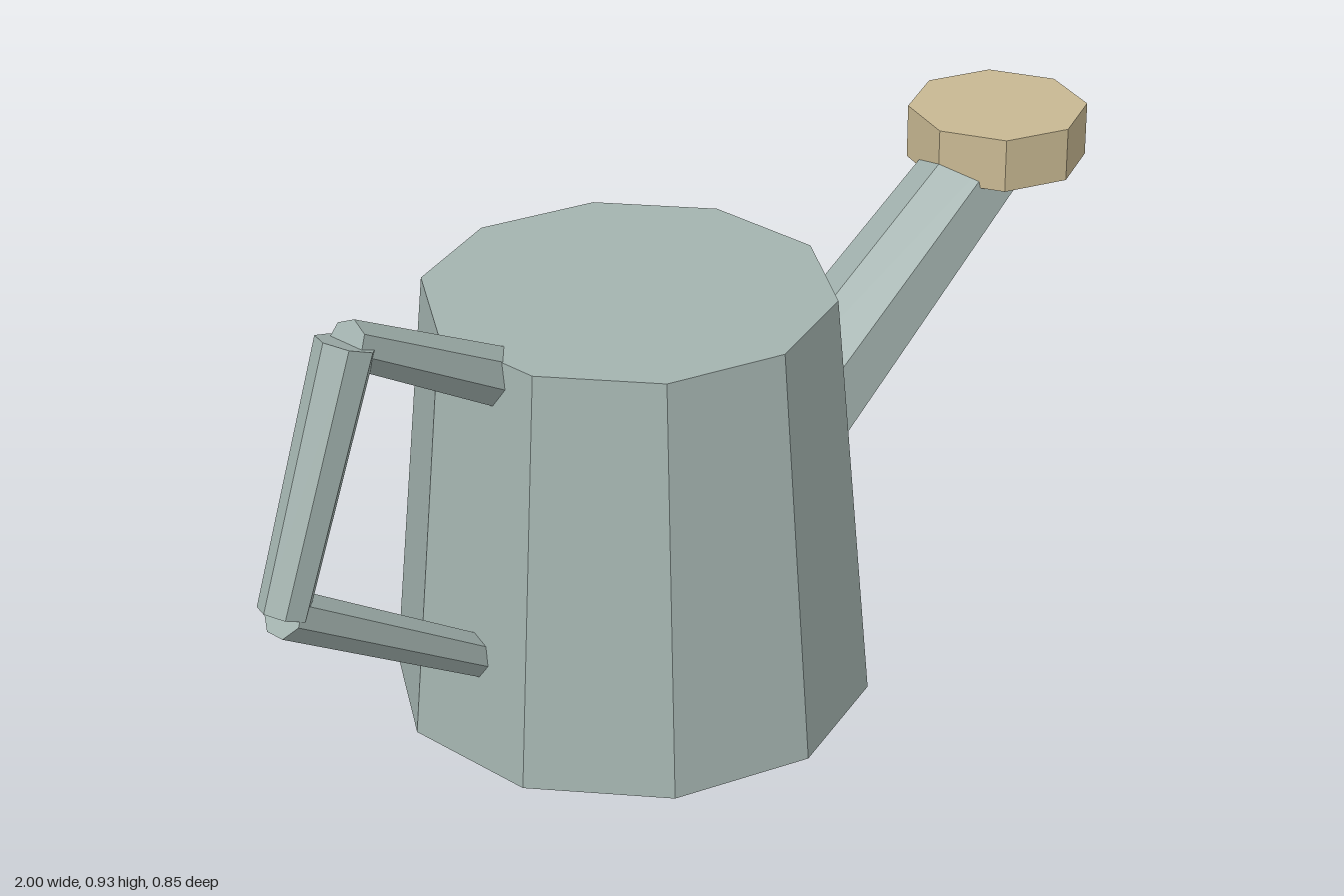
import * as THREE from 'three';

const metal = new THREE.MeshStandardMaterial({ color: 0xa3b3af, flatShading: true });
const brass = new THREE.MeshStandardMaterial({ color: 0xc8b892, flatShading: true });

// Upright faceted drum standing at (x, y)
function drum(name, x, y, rTop, rBottom, height, sides, material) {
  const geo = new THREE.CylinderGeometry(rTop, rBottom, height, sides);
  const mesh = new THREE.Mesh(geo, material);
  mesh.position.set(x, y + height / 2, 0);
  mesh.name = name;
  return mesh;
}

// Tapered seven-sided bar between two points in the x-y plane, one ridge on its left side
function bar(name, [x0, y0], [x1, y1], r0, r1) {
  const length = Math.hypot(x1 - x0, y1 - y0);
  const geo = new THREE.CylinderGeometry(r1, r0, length, 7, 1, false, -Math.PI / 2);
  const mesh = new THREE.Mesh(geo, metal);
  mesh.position.set((x0 + x1) / 2, (y0 + y1) / 2, 0);
  mesh.rotation.z = Math.atan2(y1 - y0, x1 - x0) - Math.PI / 2;
  mesh.name = name;
  return mesh;
}

export function createModel() {
  const model = new THREE.Group();
  model.name = 'wateringCan';

  // Closed tapered body
  model.add(drum('body', -0.158, 0, 0.36, 0.425, 0.762, 10, metal));

  // Spout rising to the sprinkler head
  model.add(bar('spout', [0.086, 0.244], [0.8255, 0.718], 0.121, 0.088));
  model.add(drum('sprinklerHead', 0.832, 0.69, 0.167, 0.167, 0.102, 8, brass));

  // Handle of three bars meeting at two corners
  const handle = new THREE.Group();
  handle.name = 'handle';
  const upper = [-0.804, 0.896], lower = [-0.964, 0.466];
  handle.add(
    bar('handleTop', upper, [-0.43, 0.688], 0.04, 0.054),
    bar('handleGrip', lower, upper, 0.044, 0.052),
    bar('handleBottom', lower, [-0.46, 0.152], 0.043, 0.036)
  );
  model.add(handle);
  return model;
}
